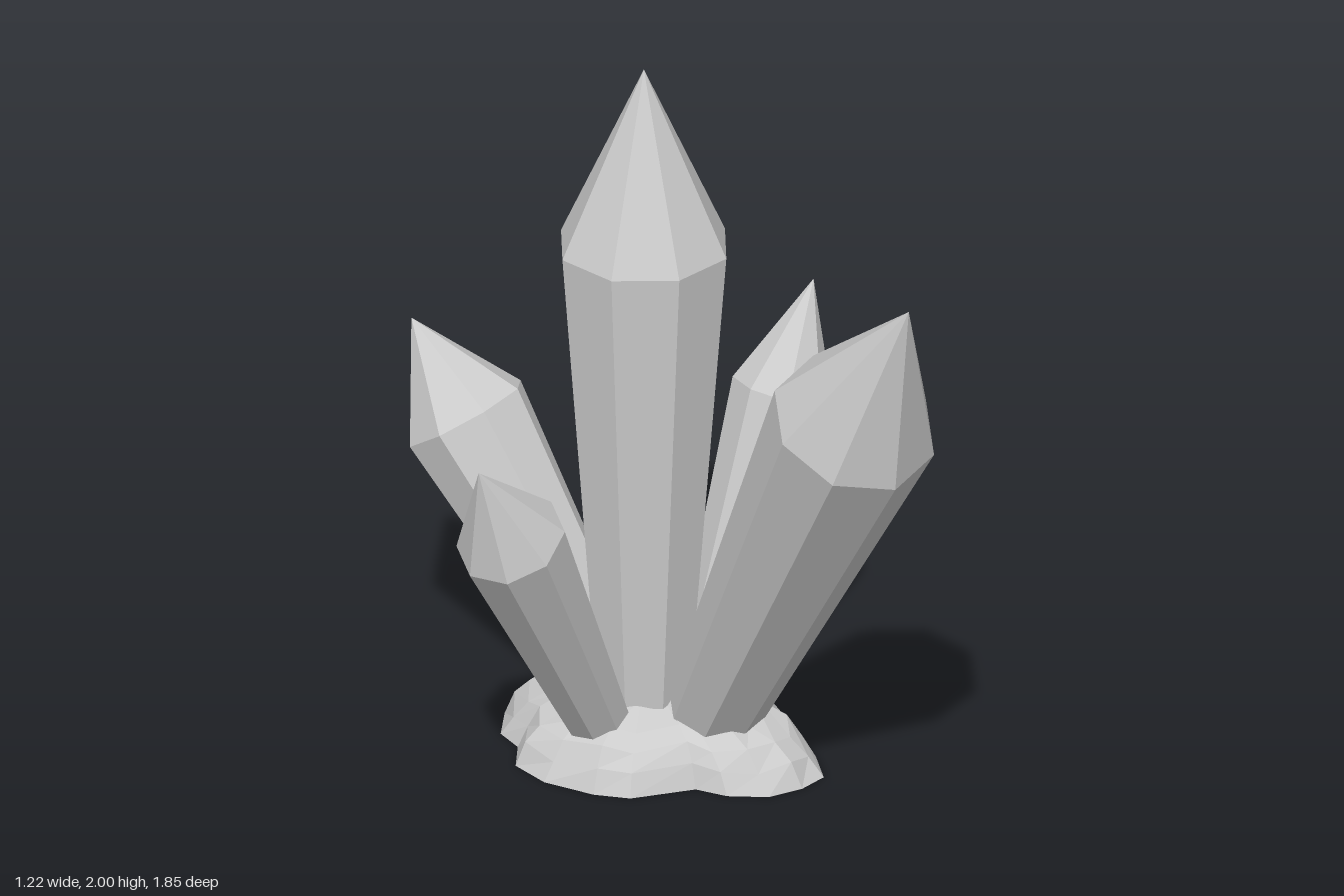
import * as THREE from 'three';

const material = new THREE.MeshStandardMaterial({ color: 0xcccccc, flatShading: true });

// Eight-sided crystal, widening from its base to a shoulder and then tapering to a tip
function crystal(name, base, tip, baseRadius, shoulderRadius, rollDegrees) {
  const start = new THREE.Vector3(...base);
  const axis = new THREE.Vector3(...tip).sub(start);
  const length = axis.length();
  const sink = 0.06; // root buried in the rock
  const rootRadius = baseRadius - (shoulderRadius - baseRadius) * sink / (0.72 * length);
  const profile = [
    new THREE.Vector2(0, -sink),
    new THREE.Vector2(rootRadius, -sink),
    new THREE.Vector2(shoulderRadius, 0.72 * length),
    new THREE.Vector2(0, length),
  ];
  const geometry = new THREE.LatheGeometry(profile, 8, THREE.MathUtils.degToRad(rollDegrees));
  const mesh = new THREE.Mesh(geometry, material);
  mesh.name = name;
  mesh.position.copy(start);
  mesh.quaternion.setFromUnitVectors(new THREE.Vector3(0, 1, 0), axis.normalize());
  return mesh;
}

// Irregular rock: a footprint repeated in shrinking rings up to a low crown
function rock() {
  const outline = [
    [0.06, 0.13], [0.12, 0.2], [0.22, 0.25], [0.32, 0.24], [0.4, 0.2], [0.43, 0.08], [0.41, -0.03],
    [0.45, -0.15], [0.41, -0.33], [0.28, -0.38], [0.18, -0.48], [0.1, -0.57], [0.02, -0.6],
    [-0.1, -0.56], [-0.22, -0.49], [-0.28, -0.38], [-0.27, -0.29], [-0.32, -0.19], [-0.29, -0.07],
    [-0.2, 0.05], [-0.12, 0.11],
  ];
  const rings = [[1, 0], [0.92, 0.06], [0.82, 0.11], [0.66, 0.145], [0.33, 0.185]]; // scale, height
  const cx = 0.05, cz = -0.17, n = outline.length;
  const positions = [], indices = [];
  rings.forEach(([scale, y], r) => outline.forEach(([x, z], i) => {
    const bump = r === 0 ? 0 : 0.01 * Math.sin(i * 2.3 + r);
    positions.push(cx + (x - cx) * (scale + bump), y + bump, cz + (z - cz) * (scale + bump));
  }));
  const top = rings.length * n, bottom = top + 1;
  positions.push(cx, 0.205, cz, cx, 0, cz);
  for (let i = 0; i < n; i++) {
    const j = (i + 1) % n;
    for (let r = 0; r < rings.length - 1; r++) {
      const a = r * n + i, b = r * n + j;
      indices.push(a, b, b + n, a, b + n, a + n);
    }
    indices.push(top - n + i, top - n + j, top);
    indices.push(j, i, bottom);
  }
  const geometry = new THREE.BufferGeometry();
  geometry.setAttribute('position', new THREE.Float32BufferAttribute(positions, 3));
  geometry.setIndex(indices);
  geometry.computeVertexNormals();
  const mesh = new THREE.Mesh(geometry, material);
  mesh.name = 'rockBase';
  return mesh;
}

export function createModel() {
  const group = new THREE.Group();
  group.name = 'crystalCluster';
  group.add(
    rock(),
    crystal('centreCrystal', [0.04, 0.15, -0.17], [0.04, 2, -0.165], 0.13, 0.235, 0),
    crystal('frontCrystal', [0.18, 0.15, -0.02], [0.33, 1.72, 0.92], 0.13, 0.228, 10),
    crystal('leftCrystal', [0.24, 0.15, -0.23], [0.605, 1.19, -0.335], 0.08, 0.138, 25),
    crystal('rightCrystal', [-0.14, 0.18, -0.09], [-0.598, 1.1, 0.2], 0.09, 0.15, 14),
    crystal('backCrystal', [0.04, 0.13, -0.43], [-0.31, 1, -0.9], 0.1, 0.177, 0),
    crystal('smallCrystal', [-0.16, 0.17, -0.22], [-0.31, 0.56, -0.25], 0.038, 0.062, 20),
  );
  return group;
}
